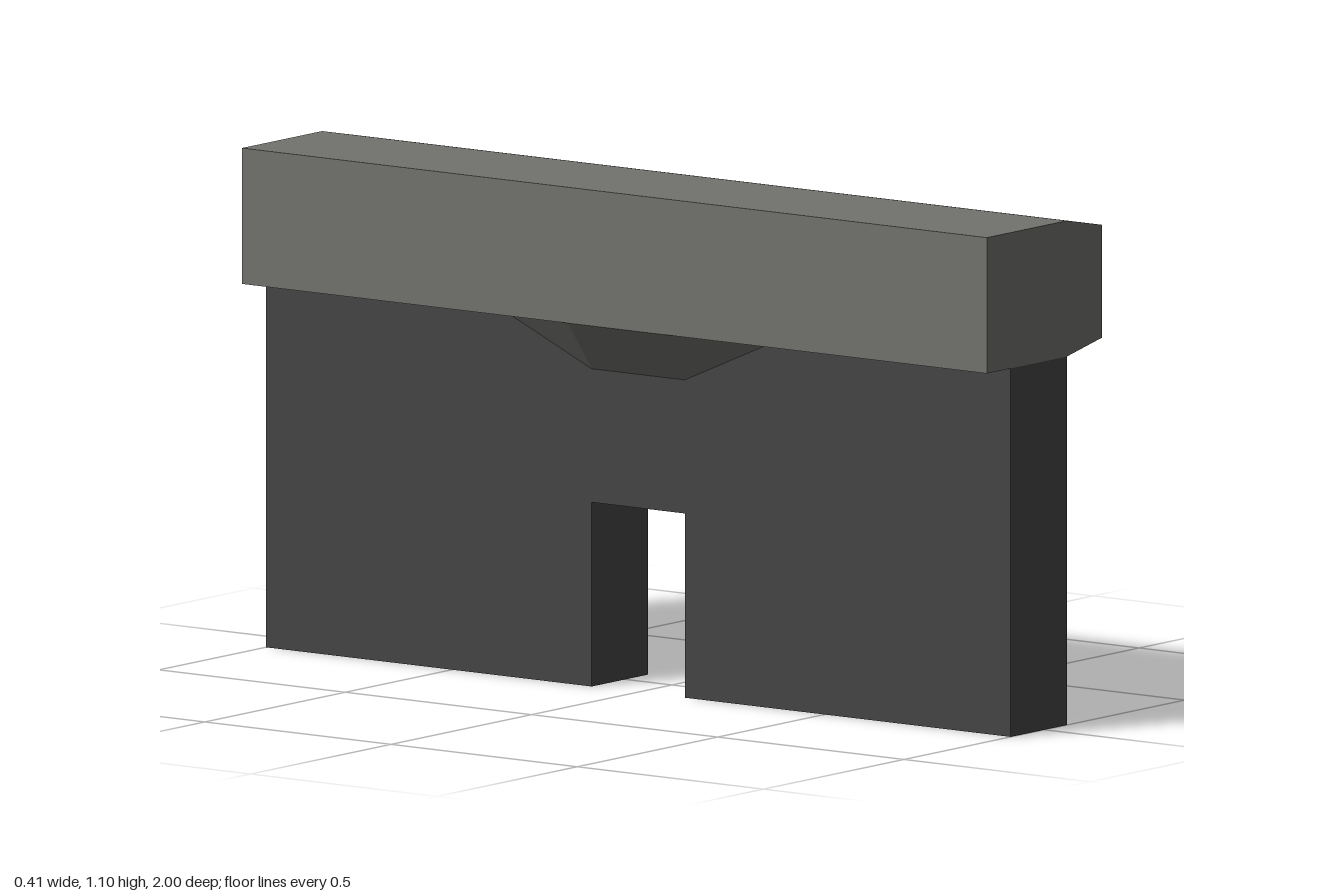
import * as THREE from 'three';

const material = (name, color, side = THREE.FrontSide) => {
  const m = new THREE.MeshStandardMaterial({ color, side });
  m.name = name;
  return m;
};

// Flat-shaded surface from a list of four-cornered (or three-cornered) faces
function facets(faces) {
  const pos = [];
  for (const [a, b, c, d] of faces) {
    pos.push(...a, ...b, ...c);
    if (d) pos.push(...a, ...c, ...d);
  }
  const g = new THREE.BufferGeometry();
  g.setAttribute('position', new THREE.Float32BufferAttribute(pos, 3));
  g.computeVertexNormals();
  return g;
}

function extrude(points, depth) {
  const shape = new THREE.Shape(points.map(([x, y]) => new THREE.Vector2(x, y)));
  return new THREE.ExtrudeGeometry(shape, { depth, bevelEnabled: false });
}

export function createModel() {
  const model = new THREE.Group();
  model.name = 'wallSegment';
  const grey = material('concrete grey', 0x72726f);
  const dark = material('dark concrete', 0x464646);
  const gold = material('gold trim', 0xcca83c);

  const add = (parent, name, geometry, mat) => {
    const mesh = new THREE.Mesh(geometry, mat);
    mesh.name = name;
    parent.add(mesh);
    return mesh;
  };

  // Wall with a doorway notch, drawn in z-y and turned to run along z
  const wall = extrude([
    [-1, 0], [-0.125, 0], [-0.125, 0.4], [0.125, 0.4],
    [0.125, 0], [1, 0], [1, 0.8], [-1, 0.8],
  ], 0.2);
  wall.rotateY(-Math.PI / 2).translate(0.08, 0, 0);
  add(model, 'wall', wall, dark);

  // Heavy cap beam, bevelled toward the +x side
  const cap = extrude([
    [-0.205, 0.8], [0.08, 0.8], [0.205, 0.825],
    [0.205, 1.07], [0.08, 1.095], [-0.205, 1.095],
  ], 2);
  cap.translate(0, 0, -1);
  add(model, 'capBeam', cap, grey);

  const band = add(model, 'capTrim', new THREE.BoxGeometry(0.006, 0.04, 1.999), gold);
  band.position.set(0.203, 0.845, 0);

  // Pillars: tapered section repeated at three heights, flaring out under the cap
  const levels = [
    { y: 0, x: 0.12, half: 0.088, panel: 0.057 },
    { y: 0.6, x: 0.12, half: 0.088, panel: 0.057 },
    { y: 0.825, x: 0.205, half: 0.106, panel: 0.059 },
  ];
  const section = ({ y, x, half, panel }) => {
    const baseY = Math.min(y, 0.8);
    return [
      [0.08, baseY, -0.125], [x, y, -half], [x, y, -panel],
      [x, y, panel], [x, y, half], [0.08, baseY, 0.125],
    ];
  };
  const rings = levels.map(section);
  const column = (i) => [0, 1].map((k) => {
    const lo = rings[k], hi = rings[k + 1];
    return [lo[i + 1], lo[i], hi[i], hi[i + 1]];
  });
  const foot = [rings[0][0], rings[0][1], rings[0][4], rings[0][5]];
  const bodyGeometry = facets([...column(0), ...column(2), ...column(4), foot]);
  const trimGeometry = facets([...column(1), ...column(3)]);
  for (const z of [-0.5, 0.5]) {
    const pillar = new THREE.Group();
    pillar.name = z > 0 ? 'frontPillar' : 'backPillar';
    pillar.position.z = z;
    add(pillar, 'pillarBody', bodyGeometry, grey);
    add(pillar, 'pillarTrim', trimGeometry, gold);
    model.add(pillar);
  }

  // Sloped corbel between the pillars
  add(model, 'corbel', facets([[
    [0.08, 0.69, 0.376], [0.08, 0.69, -0.376],
    [0.205, 0.825, -0.395], [0.205, 0.825, 0.395],
  ]]), grey);

  // Small bracket under the cap on the plain side, with splayed ends
  const low = (z) => [-0.12, 0.69, z];
  const out = (z) => [-0.205, 0.8, z];
  const high = (z) => [-0.12, 0.8, z];
  add(model, 'bracket', facets([
    [low(-0.125), low(0.125), out(0.125), out(-0.125)],
    [low(0.125), high(0.375), out(0.125)],
    [low(-0.125), out(-0.125), high(-0.375)],
  ]), grey);

  return model;
}
